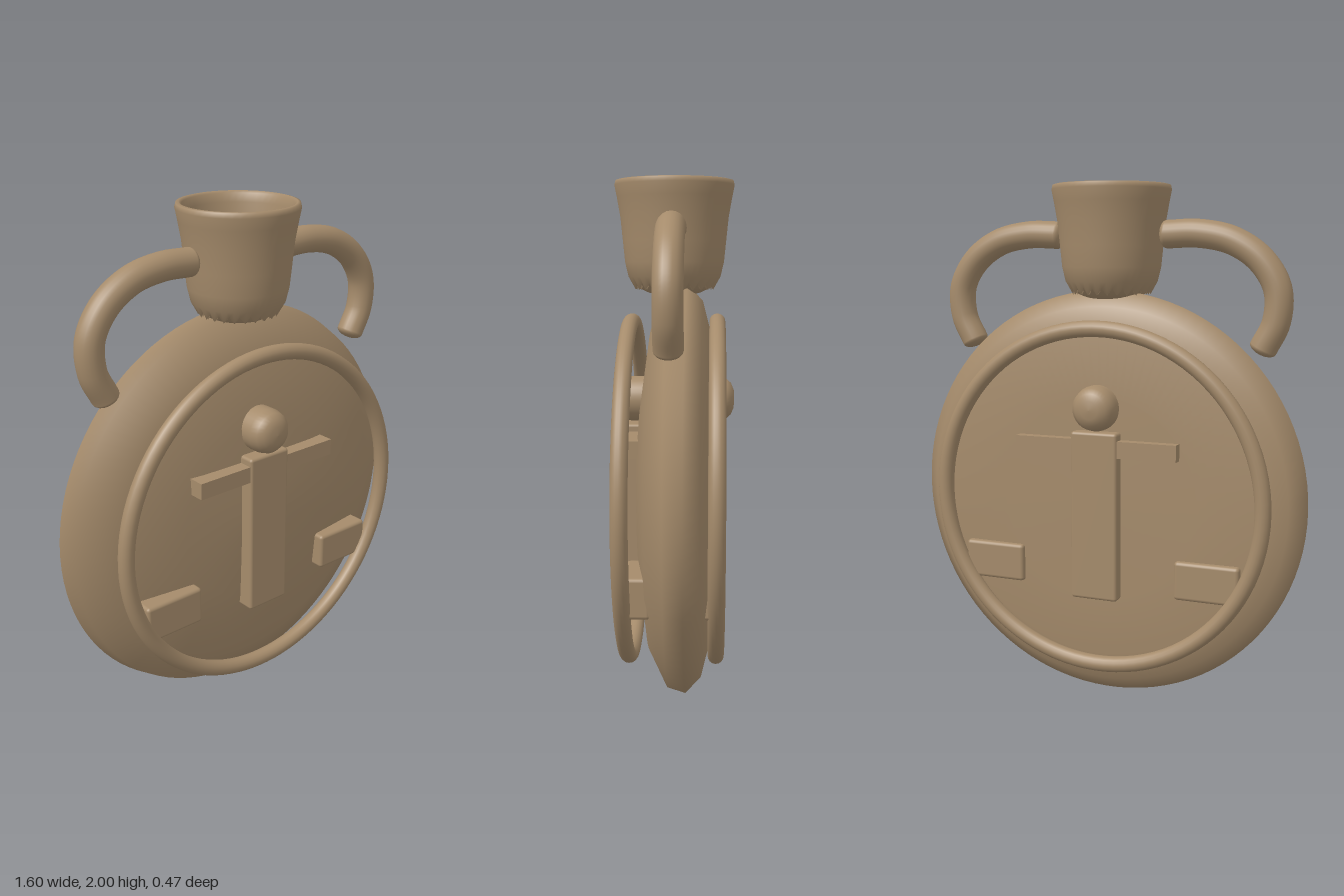
import * as THREE from 'three';
import { RoundedBoxGeometry } from 'three/addons/geometries/RoundedBoxGeometry.js';

const CENTER_Y = 0.803;

export function createModel() {
  const model = new THREE.Group();
  model.name = 'pilgrimFlask';
  const clay = new THREE.MeshStandardMaterial({ color: 0xa58b6b, side: THREE.DoubleSide });
  clay.name = 'tan clay';

  const add = (parent, name, geometry, x = 0, y = 0, z = 0) => {
    const mesh = new THREE.Mesh(geometry, clay);
    mesh.name = name;
    mesh.position.set(x, y, z);
    parent.add(mesh);
    return mesh;
  };
  const lathe = (points, segments) =>
    new THREE.LatheGeometry(points.map(([r, h]) => new THREE.Vector2(r, h)), segments);

  // Flattened round body, turned about the z axis: [radius, z]
  const body = lathe([
    [0, -0.145], [0.4, -0.145], [0.63, -0.138], [0.74, -0.11], [0.8, -0.052],
    [0.78, 0.016], [0.64, 0.087], [0.36, 0.128], [0, 0.142],
  ], 96).rotateX(Math.PI / 2);
  add(model, 'body', body, 0, CENTER_Y, 0);

  // Raised relief, the same on both faces
  for (const side of ['front', 'back']) {
    const relief = new THREE.Group();
    relief.name = side + 'Relief';
    if (side === 'back') relief.rotation.y = Math.PI;
    model.add(relief);

    add(relief, 'rimRing', new THREE.TorusGeometry(0.659, 0.031, 16, 96), 0, CENTER_Y, 0.167);
    add(relief, 'figureTorso', new RoundedBoxGeometry(0.19, 0.66, 0.11, 2, 0.012), 0, 0.74, 0.137);
    add(relief, 'figureArms', new THREE.BoxGeometry(0.66, 0.065, 0.08), 0, 1.008, 0.146);
    const head = lathe([
      [0.088, 0.08], [0.088, 0.17], [0.08, 0.202], [0.062, 0.222], [0.035, 0.233], [0, 0.235],
    ], 32).rotateX(Math.PI / 2);
    add(relief, 'figureHead', head, 0, 1.16, 0);
    for (const s of [-1, 1]) {
      add(relief, 'sideBlock', new RoundedBoxGeometry(0.255, 0.15, 0.1, 2, 0.014), s * 0.445, 0.515, 0.116);
    }
  }

  // Hollow flared neck: inner wall, rounded lip, outer wall
  const TEETH = 24;
  const neck = lathe([
    [0.143, 1.597], [0.168, 1.65], [0.175, 1.75], [0.184, 1.86], [0.196, 1.96], [0.205, 1.992],
    [0.215, 2], [0.226, 1.997], [0.23, 1.98], [0.221, 1.935], [0.208, 1.86], [0.199, 1.77],
    [0.191, 1.69], [0.178, 1.635], [0.15, 1.597],
  ], TEETH * 2);
  // Jagged lower edge
  const pos = neck.attributes.position;
  const rows = 15;
  for (let i = 0; i <= TEETH * 2; i++) {
    for (const row of [0, rows - 1]) {
      pos.setY(i * rows + row, 1.597 + (i % 2 ? 0.012 : -0.012));
    }
  }
  add(model, 'neck', neck);
  add(model, 'neckFloor', lathe([
    [0, 1.555], [0.05, 1.56], [0.1, 1.574], [0.135, 1.59], [0.158, 1.618],
  ], 48));

  // Curved shoulder handles with softly rounded ends
  const R = 0.053;
  for (const s of [-1, 1]) {
    const handle = new THREE.Group();
    handle.name = s > 0 ? 'leftHandle' : 'rightHandle';
    model.add(handle);
    const path = new THREE.CatmullRomCurve3([
      [0.225, 1.812], [0.35, 1.814], [0.48, 1.787], [0.59, 1.715],
      [0.653, 1.61], [0.65, 1.49], [0.604, 1.395],
    ].map(([x, y]) => new THREE.Vector3(s * x, y, 0)));
    add(handle, 'handleArc', new THREE.TubeGeometry(path, 48, R, 20));
    for (const t of [0, 1]) {
      const p = path.getPoint(t);
      const cap = add(handle, 'handleEnd', new THREE.SphereGeometry(R, 20, 12), p.x, p.y, p.z);
      cap.quaternion.setFromUnitVectors(new THREE.Vector3(0, 1, 0), path.getTangent(t));
      cap.scale.y = 0.5;
    }
  }

  return model;
}
